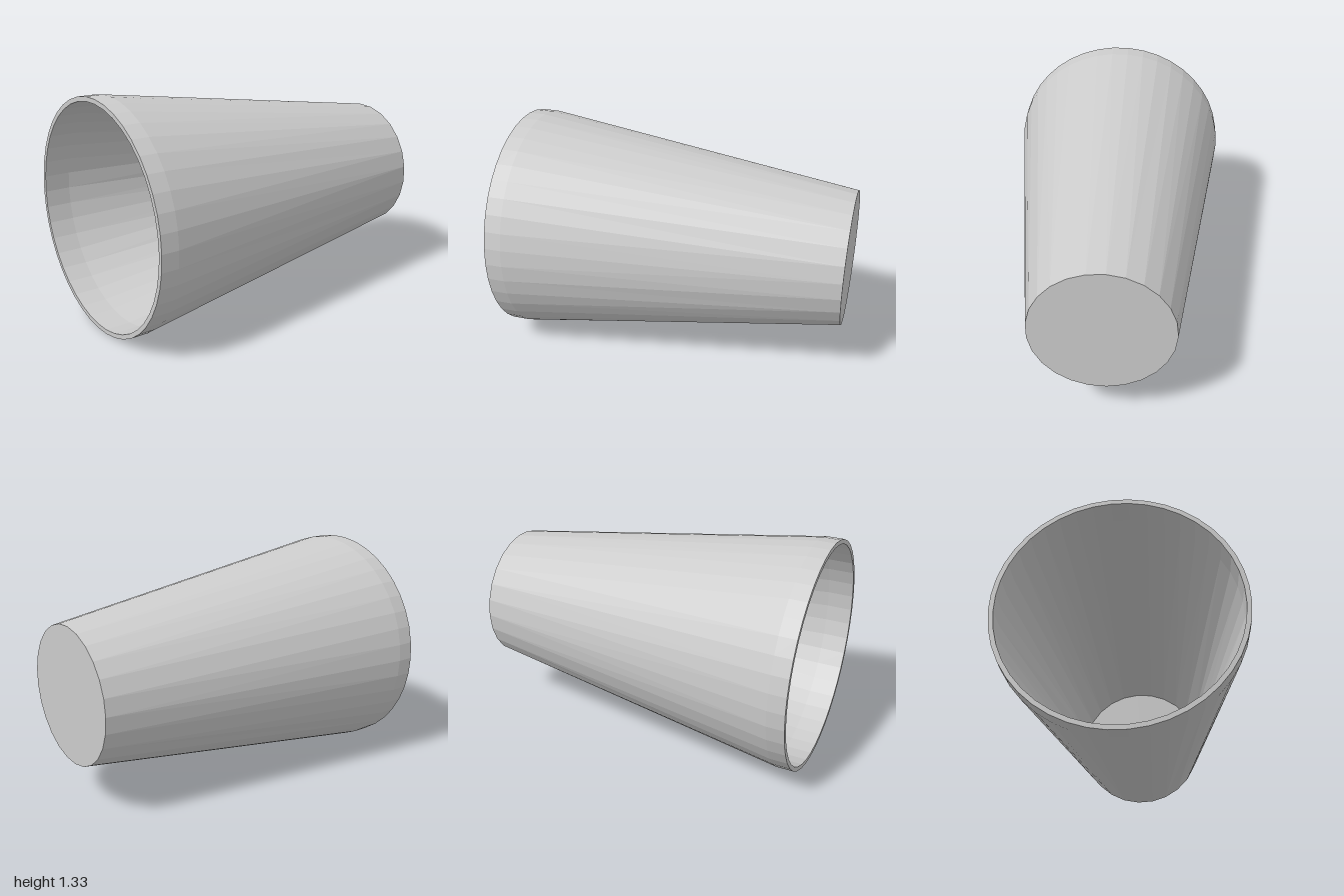
import * as THREE from 'three';

const CENTER_Y = 0.667;
const RIM_SIDES = 42;
const BASE_SIDES = 25;

// Circle of points round the z axis, starting at -x
function ring(sides, radius, z) {
  const points = [];
  for (let i = 0; i <= sides; i++) {
    const a = Math.PI + ((i % sides) / sides) * Math.PI * 2;
    points.push([Math.cos(a) * radius, Math.sin(a) * radius, z]);
  }
  return points;
}

// Band of triangles between two rings, which may differ in side count
function bridge(a, b) {
  const n = a.length - 1, m = b.length - 1, out = [];
  let i = 0, j = 0;
  while (i < n || j < m) {
    if (j === m || (i < n && (i + 1) / n <= (j + 1) / m)) {
      out.push(...a[i], ...a[i + 1], ...b[j]);
      i++;
    } else {
      out.push(...a[i], ...b[j + 1], ...b[j]);
      j++;
    }
  }
  const geometry = new THREE.BufferGeometry();
  geometry.setAttribute('position', new THREE.Float32BufferAttribute(out, 3));
  geometry.computeVertexNormals();
  return geometry;
}

export function createModel() {
  const group = new THREE.Group();
  group.name = 'cup';
  const material = new THREE.MeshStandardMaterial({ color: 0xcccccc, flatShading: true });

  const add = (name, geometry) => {
    const mesh = new THREE.Mesh(geometry, material);
    mesh.name = name;
    mesh.position.y = CENTER_Y;
    group.add(mesh);
  };

  // Rings from the closed back end, over the lip, down to the inner floor
  const baseOuter = ring(BASE_SIDES, 0.397, -1);
  const collarOuter = ring(RIM_SIDES, 0.667, 0.9);
  const lipOuter = ring(RIM_SIDES, 0.667, 1);
  const lipInner = ring(RIM_SIDES, 0.641, 1);
  const collarInner = ring(RIM_SIDES, 0.641, 0.85);
  const baseInner = ring(BASE_SIDES, 0.397, -0.93);

  add('outerWall', bridge(baseOuter, collarOuter));
  add('outerCollar', bridge(collarOuter, lipOuter));
  add('lip', bridge(lipOuter, lipInner));
  add('innerCollar', bridge(lipInner, collarInner));
  add('innerWall', bridge(collarInner, baseInner));

  // Closed end, outside and inside
  add('base', new THREE.CircleGeometry(0.397, BASE_SIDES).rotateY(Math.PI).translate(0, 0, -1));
  add('innerFloor', new THREE.CircleGeometry(0.397, BASE_SIDES, Math.PI).translate(0, 0, -0.93));

  return group;
}
